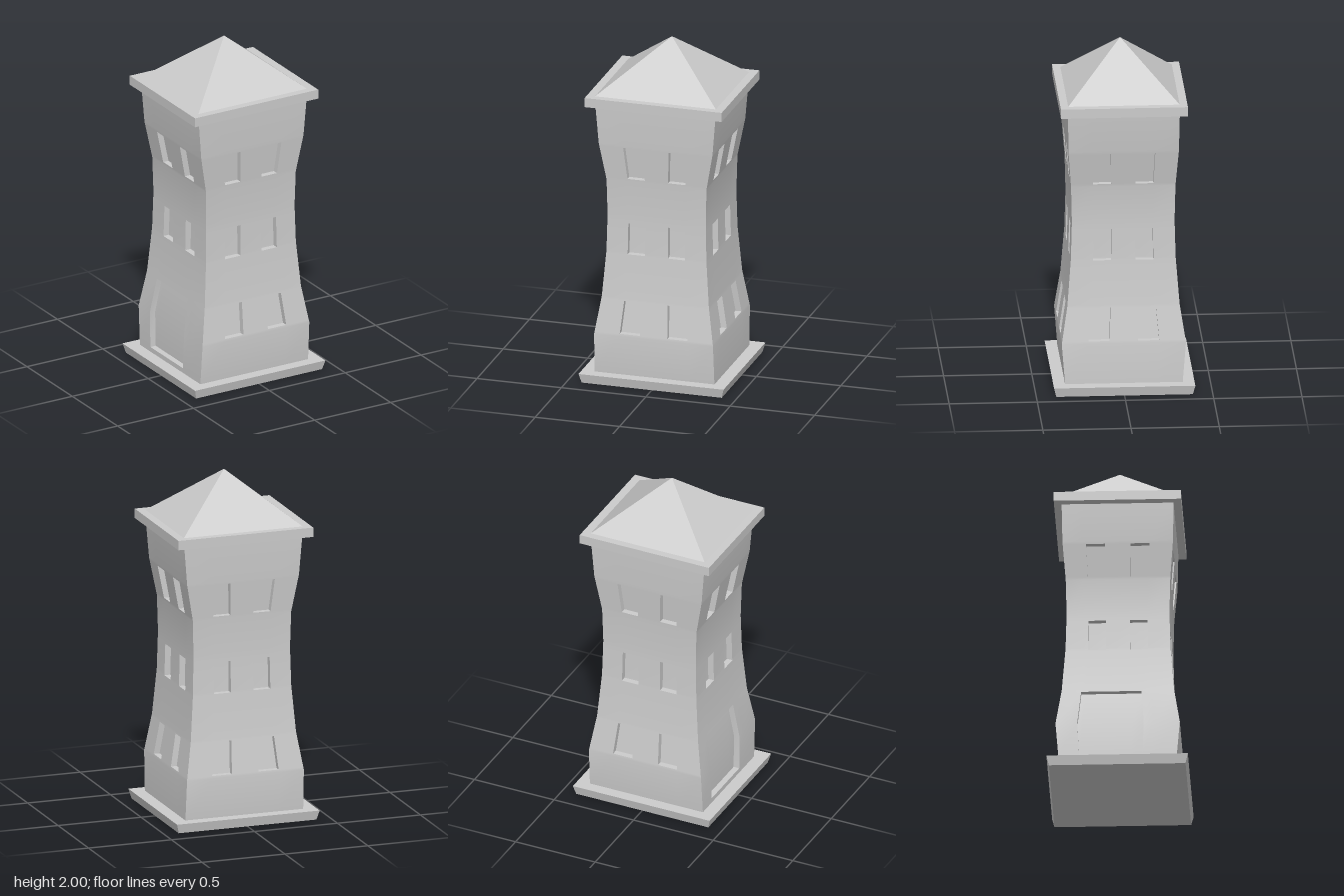
import * as THREE from 'three';
import { toCreasedNormals } from 'three/addons/utils/BufferGeometryUtils.js';

const material = new THREE.MeshStandardMaterial({ color: 0xcccccc });

// Tower profile: height, half width in x, half depth in z
const PROFILE = [
  [0.05, 0.355, 0.333], [0.29, 0.352, 0.352], [0.51, 0.317, 0.318], [0.78, 0.296, 0.297],
  [1.0, 0.291, 0.291], [1.21, 0.296, 0.296], [1.43, 0.337, 0.313], [1.66, 0.356, 0.317],
];
const ROWS = [[0.305, 0.495], [0.77, 0.955], [1.225, 1.415]];
const DEPTH = 0.035;

function halfSize(y, column) {
  const i = Math.max(1, PROFILE.findIndex((p) => p[0] >= y));
  const a = PROFILE[i - 1], b = PROFILE[i];
  return THREE.MathUtils.lerp(a[column], b[column], (y - a[0]) / (b[0] - a[0]));
}

// Two windows per row, u being a fraction of the wall's half width
const windows = (rows) => rows.flatMap(([y0, y1]) =>
  [-1, 1].map((s) => ({ u0: s > 0 ? 0.23 : -0.575, u1: s > 0 ? 0.575 : -0.23, y0, y1 })));

const sortedUnique = (values) => [...new Set(values)].sort((a, b) => a - b);

// Wall bent along the profile, with recessed openings and their reveals
function makeWall(name, openings, angle, acrossColumn, outColumn) {
  const us = sortedUnique([-1, 1, ...openings.flatMap((o) => [o.u0, o.u1])]);
  const ys = sortedUnique([...PROFILE.map((p) => p[0]), ...openings.flatMap((o) => [o.y0, o.y1])]);
  const positions = [];
  const point = (u, y, d) => [u * halfSize(y, acrossColumn), y, halfSize(y, outColumn) - d];
  const quad = (a, b, c, d) => positions.push(...a, ...b, ...c, ...a, ...c, ...d);
  const depthAt = (i, j) => {
    if (i < 0 || j < 0 || i > us.length - 2 || j > ys.length - 2) return 0;
    const u = (us[i] + us[i + 1]) / 2, y = (ys[j] + ys[j + 1]) / 2;
    return openings.some((o) => u > o.u0 && u < o.u1 && y > o.y0 && y < o.y1) ? DEPTH : 0;
  };
  for (let i = 0; i < us.length - 1; i++) {
    for (let j = 0; j < ys.length - 1; j++) {
      const u0 = us[i], u1 = us[i + 1], y0 = ys[j], y1 = ys[j + 1];
      const d = depthAt(i, j), left = depthAt(i - 1, j), below = depthAt(i, j - 1);
      quad(point(u0, y0, d), point(u1, y0, d), point(u1, y1, d), point(u0, y1, d));
      if (left !== d) quad(point(u0, y0, left), point(u0, y0, d), point(u0, y1, d), point(u0, y1, left));
      if (below !== d) quad(point(u0, y0, below), point(u1, y0, below), point(u1, y0, d), point(u0, y0, d));
    }
  }
  const geometry = new THREE.BufferGeometry();
  geometry.setAttribute('position', new THREE.Float32BufferAttribute(positions, 3));
  geometry.rotateY(angle);
  const mesh = new THREE.Mesh(toCreasedNormals(geometry, Math.PI / 6), material);
  mesh.name = name;
  return mesh;
}

// Four-sided block; topScale tapers it towards the top
function makeBlock(name, halfX, halfZ, y0, y1, topScale) {
  let geometry = new THREE.CylinderGeometry(Math.SQRT2 * topScale, Math.SQRT2, y1 - y0, 4);
  geometry.rotateY(Math.PI / 4);
  geometry.scale(halfX, 1, halfZ);
  geometry.translate(0, (y0 + y1) / 2, 0);
  geometry = geometry.toNonIndexed();
  geometry.computeVertexNormals();
  const mesh = new THREE.Mesh(geometry, material);
  mesh.name = name;
  return mesh;
}

export function createModel() {
  const model = new THREE.Group();
  model.name = 'tower';

  // Plinth, eaves and pyramid roof
  model.add(makeBlock('plinth', 0.415, 0.387, 0, 0.055, 1.035));
  model.add(makeBlock('eaves', 0.406, 0.36, 1.655, 1.71, 1));
  model.add(makeBlock('roof', 0.36, 0.318, 1.708, 2, 0));

  // Four walls; the right one has a doorway in place of its lowest windows
  const door = { u0: -0.65, u1: 0.42, y0: 0.083, y1: 0.5 };
  const walls = new THREE.Group();
  walls.name = 'walls';
  walls.add(makeWall('frontWall', windows(ROWS), 0, 1, 2));
  walls.add(makeWall('leftWall', windows(ROWS), Math.PI / 2, 2, 1));
  walls.add(makeWall('backWall', windows(ROWS), Math.PI, 1, 2));
  walls.add(makeWall('rightWall', [door, ...windows(ROWS.slice(1))], -Math.PI / 2, 2, 1));
  model.add(walls);
  return model;
}
